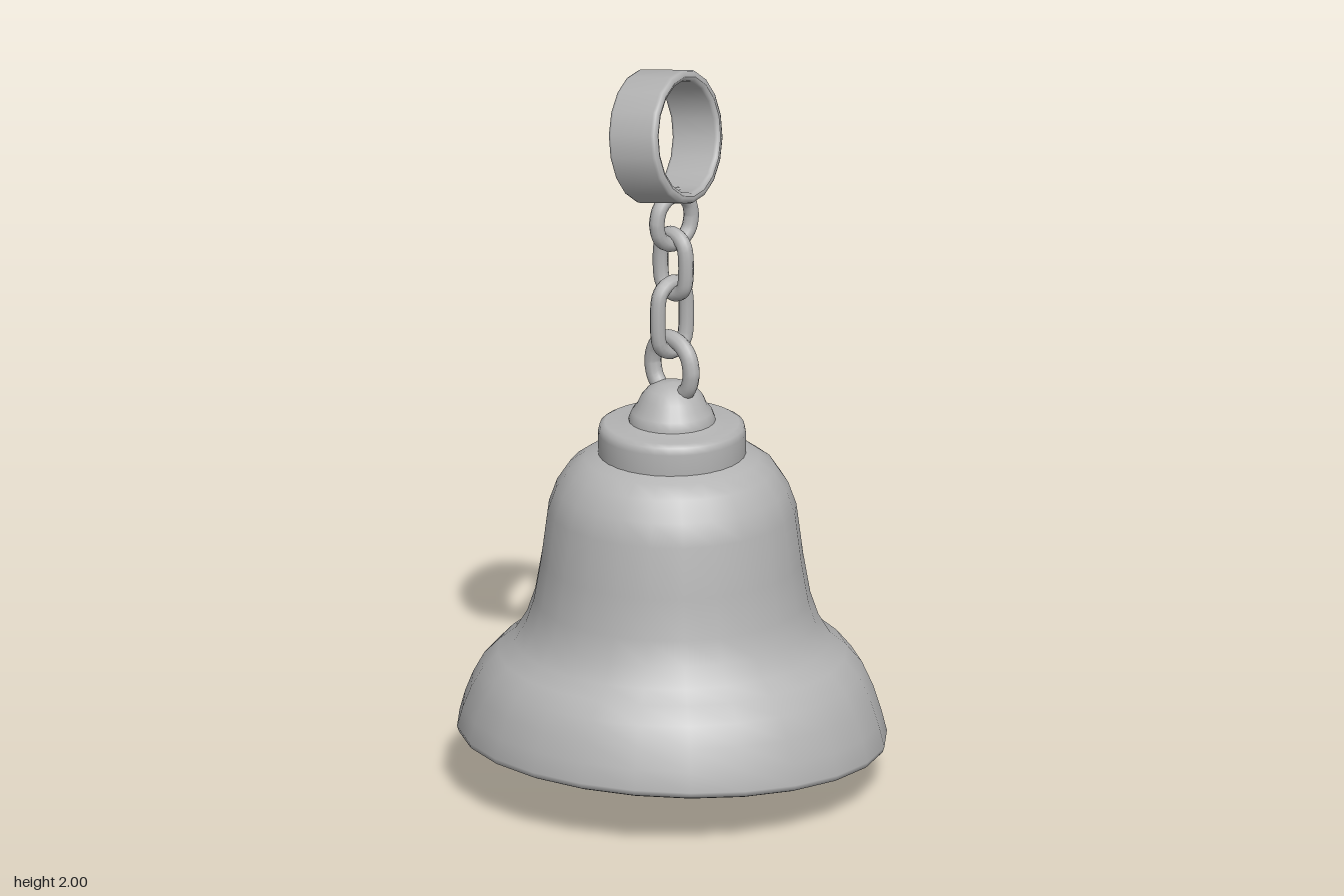
import * as THREE from 'three';

const V2 = (a) => a.map(([x, y]) => new THREE.Vector2(x, y));

export function createModel() {
  const model = new THREE.Group();
  model.name = 'handBell';
  const metal = new THREE.MeshStandardMaterial({ color: 0xb4b4b4 });
  metal.name = 'grey metal';

  const add = (name, geometry, x = 0, y = 0, z = 0) => {
    const mesh = new THREE.Mesh(geometry, metal);
    mesh.name = name;
    mesh.position.set(x, y, z);
    model.add(mesh);
    return mesh;
  };

  // Bell shell: down the inside, round the lip, up the outside
  const inside = [[0, 0.88], [0.15, 0.87], [0.24, 0.84], [0.29, 0.77], [0.315, 0.65],
    [0.335, 0.52], [0.36, 0.44], [0.43, 0.35], [0.5, 0.25], [0.535, 0.15]];
  const lip = [[0.543, 0.13], [0.557, 0.122], [0.572, 0.128], [0.577, 0.143]];
  const outside = [[0.562, 0.2], [0.54, 0.262], [0.51, 0.322], [0.468, 0.368], [0.425, 0.402],
    [0.393, 0.455], [0.371, 0.52], [0.352, 0.63], [0.334, 0.77], [0.312, 0.832],
    [0.277, 0.885], [0.235, 0.915], [0.19, 0.93]];
  const shell = new THREE.LatheGeometry(V2([...inside, ...lip, ...outside]), 24, Math.PI / 24);
  // The skirt hangs slightly lower at the back
  const p = shell.attributes.position;
  for (let i = 0; i < p.count; i++) {
    const weight = THREE.MathUtils.smoothstep(0.42 - p.getY(i), 0, 0.28);
    p.setY(i, p.getY(i) + 0.052 * p.getZ(i) * weight);
  }
  add('bellShell', shell);

  // Stepped collar and dome on the crown
  add('crownCollar', new THREE.LatheGeometry(V2([[0.193, 0.9], [0.198, 0.92], [0.198, 0.985],
    [0.194, 1.004], [0.18, 1.012], [0.15, 1.01], [0.12, 1.018], [0.1, 1.02]]), 32));
  add('crownDome', new THREE.LatheGeometry(V2([[0.117, 1.0], [0.116, 1.025], [0.108, 1.045],
    [0.094, 1.062], [0.084, 1.085], [0.065, 1.108], [0.035, 1.123], [0, 1.127]]), 24));

  // Clapper
  add('clapperRod', new THREE.CylinderGeometry(0.03, 0.03, 0.72, 12), 0, 0.53, 0);
  add('clapperBall', new THREE.SphereGeometry(0.1, 24, 16), 0, 0.1, 0);

  // Hanging loop and chain; w and h are the half sizes of the centre line
  const link = (name, w, h, x, y, turned, r = 0.021) => {
    const pts = [];
    for (const side of [1, -1]) {
      for (let i = 0; i <= 6; i++) {
        const a = (i / 6) * Math.PI + (side < 0 ? Math.PI : 0);
        pts.push(new THREE.Vector3(w * Math.cos(a), side * Math.max(h - w, 0.002) + w * Math.sin(a), 0));
      }
    }
    const curve = new THREE.CatmullRomCurve3(pts, true);
    const mesh = add(name, new THREE.TubeGeometry(curve, 40, r, 10, true), x, y, 0);
    if (turned) mesh.rotation.y = Math.PI / 2;
  };
  link('hangingLoop', 0.076, 0.08, 0, 1.168, false, 0.023);
  link('lowerChainLink', 0.05, 0.097, 0, 1.31, true);
  link('middleChainLink', 0.049, 0.084, 0.005, 1.462, false);
  link('upperChainLink', 0.062, 0.068, 0.008, 1.588, true);

  // Tilted finger ring: rounded rectangular band revolved about its own axis
  const half = 0.074, outer = 0.181, inner = 0.15, b = 0.012;
  const band = V2([[inner + b, half], [inner + 0.003, half - 0.004], [inner, half - b],
    [inner, -half + b], [inner + 0.003, -half + 0.004], [inner + b, -half],
    [outer - b, -half], [outer - 0.003, -half + 0.004], [outer, -half + b],
    [outer, half - b], [outer - 0.003, half - 0.004], [outer - b, half], [inner + b, half]]);
  const ring = add('topRing', new THREE.LatheGeometry(band, 18), -0.025, 1.815, 0);
  ring.quaternion.setFromUnitVectors(
    new THREE.Vector3(0, 1, 0), new THREE.Vector3(0.94, 0.165, -0.3).normalize());

  return model;
}
